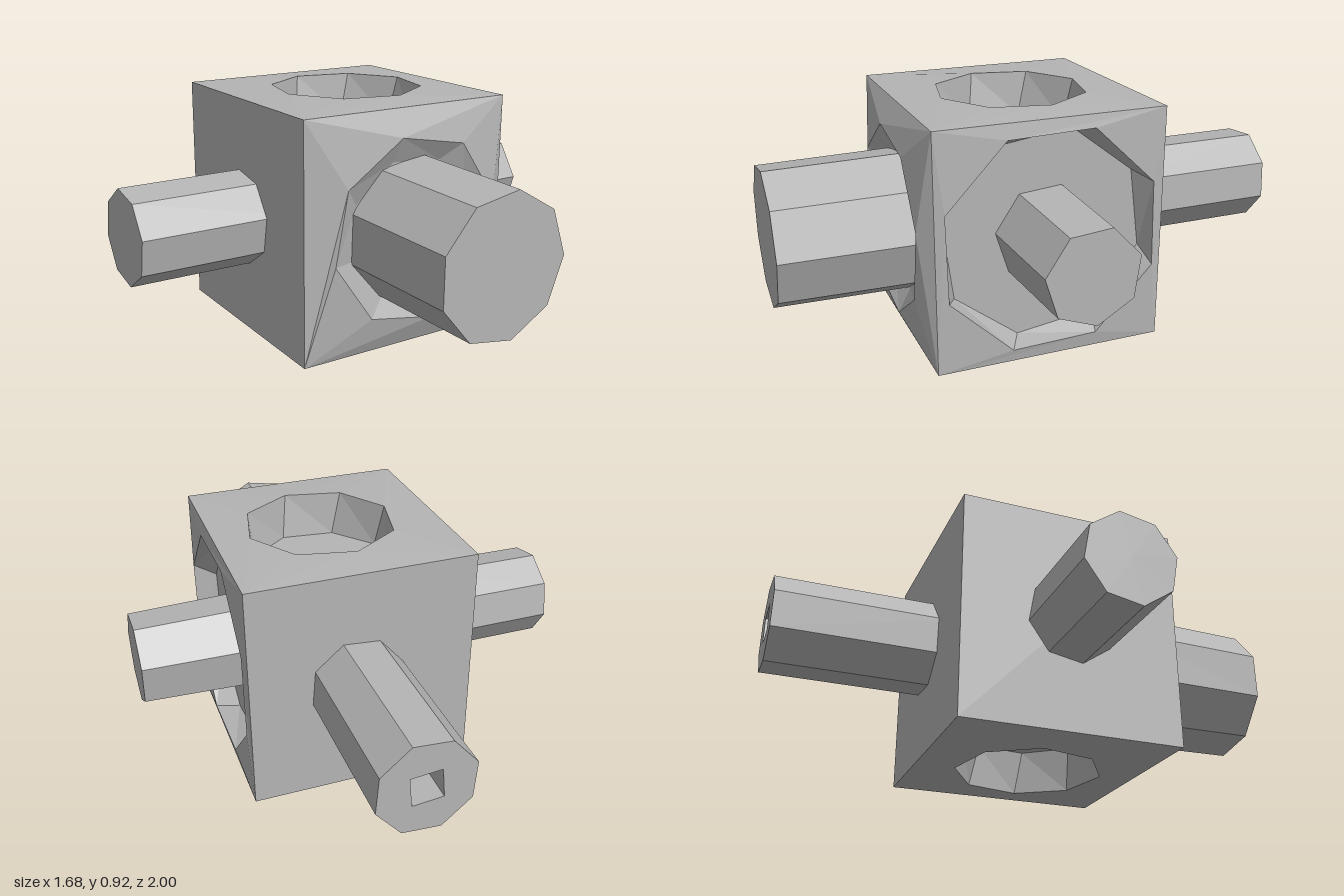
import * as THREE from 'three';

const grey = new THREE.MeshStandardMaterial({ color: 0xb4b4b4, flatShading: true });
grey.name = 'castGrey';

const rad = THREE.MathUtils.degToRad;
const CENTRE = [0.073, 0.46, 0.06];
const HALF = { x: 0.435, y: 0.45, z: 0.437 };

function mesh(name, geometry) {
  const m = new THREE.Mesh(geometry, grey);
  m.name = name;
  return m;
}

// Regular polygon as points, first corner at the given angle in degrees
function polygon(sides, r, start, cx = 0, cy = 0) {
  return Array.from({ length: sides }, (_, i) => {
    const a = rad(start) + (i / sides) * Math.PI * 2;
    return new THREE.Vector2(cx + r * Math.cos(a), cy + r * Math.sin(a));
  });
}

// Block face in the xy plane; the rim of its hole is raised by rim.lift
function faceGeometry(hw, hh, rim) {
  const shape = new THREE.Shape([[-hw, -hh], [hw, -hh], [hw, hh], [-hw, hh]].map(p => new THREE.Vector2(...p)));
  if (rim) shape.holes.push(new THREE.Path(rim.points.slice().reverse()));
  const g = new THREE.ShapeGeometry(shape);
  const p = g.attributes.position;
  for (let i = 0; i < p.count; i++) {
    const corner = Math.abs(Math.abs(p.getX(i)) - hw) < 1e-6 && Math.abs(Math.abs(p.getY(i)) - hh) < 1e-6;
    if (rim && !corner) p.setZ(i, rim.lift);
  }
  g.computeVertexNormals();
  return g;
}

// Inward-facing walls and floor of a recess
function recessGeometry(rim, floor, top, bottom) {
  const pos = [], idx = [], n = rim.length;
  rim.forEach(v => pos.push(v.x, v.y, top));
  floor.forEach(v => pos.push(v.x, v.y, bottom));
  const c = floor.reduce((s, v) => s.add(v), new THREE.Vector2()).divideScalar(n);
  pos.push(c.x, c.y, bottom);
  for (let i = 0; i < n; i++) {
    const j = (i + 1) % n;
    idx.push(i, j, n + i, j, n + j, n + i, n + i, n + j, 2 * n);
  }
  const g = new THREE.BufferGeometry();
  g.setAttribute('position', new THREE.Float32BufferAttribute(pos, 3));
  g.setIndex(idx);
  g.computeVertexNormals();
  return g;
}

// Solid faceted rod running from z0 to z1
function rodGeometry(sides, rRoot, rEnd, z0, z1, turn) {
  const g = new THREE.CylinderGeometry(rEnd, rRoot, z1 - z0, sides);
  g.rotateX(Math.PI / 2);
  g.rotateZ(rad(turn));
  g.translate(0, 0, (z0 + z1) / 2);
  return g;
}

export function createModel() {
  const model = new THREE.Group();
  model.name = 'pipeHub';

  // Each side is built facing local +z, then turned into place
  const sides = [
    { name: 'front', rot: [0, 0], size: ['x', 'y', 'z'],
      hole: { r: 0.36, start: 12, lift: 0.046, floorR: 0.27, depth: 0.045, x: 0.017 },
      rod: { sides: 9, rRoot: 0.275, rEnd: 0.265, end: 0.94, turn: 10, x: 0.017 } },
    { name: 'back', rot: [0, Math.PI], size: ['x', 'y', 'z'],
      socketRod: { end: 1.06, x: -0.022 } },
    { name: 'left', rot: [0, Math.PI / 2], size: ['z', 'y', 'x'],
      hole: { r: 0.43, start: 24, lift: 0.01, floorR: 0.4, depth: 0.09, x: 0 },
      rod: { sides: 7, rRoot: 0.19, rEnd: 0.178, end: 0.767, turn: 5, x: 0 } },
    { name: 'right', rot: [0, -Math.PI / 2], size: ['z', 'y', 'x'],
      rod: { sides: 8, rRoot: 0.18, rEnd: 0.178, end: 0.913, turn: 12, x: 0 } },
    { name: 'top', rot: [-Math.PI / 2, 0], size: ['x', 'z', 'y'],
      hole: { r: 0.29, start: 10, lift: 0.01, floorR: 0.265, depth: 0.17, x: 0.02 } },
    { name: 'bottom', rot: [Math.PI / 2, 0], size: ['x', 'z', 'y'],
      hole: { r: 0.29, start: 10, lift: 0.01, floorR: 0.265, depth: 0.17, x: 0.02 } },
  ];

  for (const s of sides) {
    const group = new THREE.Group();
    group.name = s.name + 'Side';
    group.position.set(...CENTRE);
    group.rotation.set(s.rot[0], s.rot[1], 0);
    const [hw, hh, out] = s.size.map(k => HALF[k]);

    // Block face, with a raised rim and recess where there is one
    let rim = null;
    if (s.hole) {
      const h = s.hole;
      rim = { points: polygon(8, h.r, h.start, h.x), lift: h.lift };
      const floor = polygon(8, h.floorR, h.start + 6, h.x);
      const recess = mesh(s.name + 'Recess', recessGeometry(rim.points, floor, h.lift, h.lift - h.depth));
      recess.position.z = out;
      group.add(recess);
    }
    const face = mesh(s.name + 'Face', faceGeometry(hw, hh, rim));
    face.position.z = out;
    group.add(face);

    // Plain rod
    if (s.rod) {
      const r = s.rod;
      const rod = mesh(s.name + 'Rod', rodGeometry(r.sides, r.rRoot, r.rEnd, out - 0.1, r.end, r.turn));
      rod.position.x = r.x;
      group.add(rod);
    }

    // Rod with a square socket in its end
    if (s.socketRod) {
      const { end, x } = s.socketRod;
      const outline = new THREE.Shape(polygon(8, 0.185, 18));
      outline.holes.push(new THREE.Path(polygon(4, 0.08, 50).reverse()));
      const z0 = out - 0.05;
      const rod = mesh(s.name + 'Rod', new THREE.ExtrudeGeometry(outline, { depth: end - z0, bevelEnabled: false }));
      rod.position.set(x, 0, z0);
      const plug = mesh('socketFloor', new THREE.CircleGeometry(0.1, 4, rad(50)));
      plug.position.set(x, 0, end - 0.25);
      group.add(rod, plug);
    }
    model.add(group);
  }
  return model;
}
